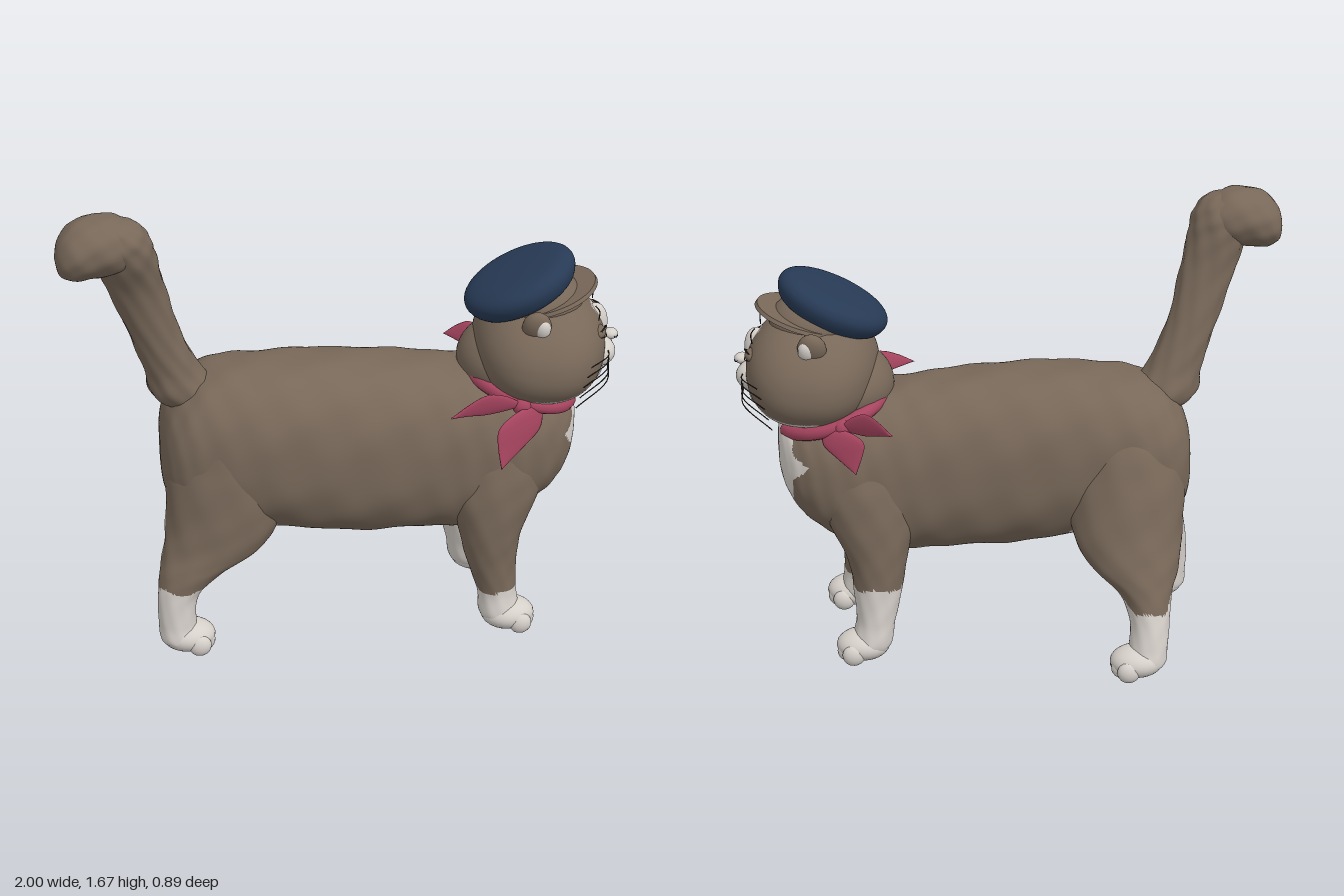
import * as THREE from 'three';

const mat = (name, color) => {
  const m = new THREE.MeshStandardMaterial({ color });
  m.name = name;
  return m;
};
const V = (x, y, z) => new THREE.Vector3(x, y, z);
const X = V(1, 0, 0), Y = V(0, 1, 0), Z = V(0, 0, 1);
const pw = (n, e) => Math.sign(n) * Math.pow(Math.abs(n), e);

// Smooth skin over sections [x, y, z, radiusU, radiusV]; u cross v points along the path.
function loft(sections, u, v, { steps = 48, sides = 48, fur = 0, power = 1 } = {}) {
  const centres = new THREE.CatmullRomCurve3(sections.map(s => V(s[0], s[1], s[2])), false, 'catmullrom');
  const radii = new THREE.CatmullRomCurve3(sections.map(s => V(s[3], s[4], 0)), false, 'catmullrom');
  const pos = [], idx = [];
  for (let i = 0; i <= steps; i++) {
    const c = centres.getPoint(i / steps), r = radii.getPoint(i / steps);
    for (let j = 0; j < sides; j++) {
      const a = j / sides * Math.PI * 2;
      const k = 1 + fur * (Math.sin(9 * a + i * 0.45) + Math.sin(5 * a - i * 0.8));
      const p = c.clone()
        .addScaledVector(u, Math.max(r.x, 0.00002) * pw(Math.cos(a), power) * k)
        .addScaledVector(v, Math.max(r.y, 0.00002) * pw(Math.sin(a), power) * k);
      pos.push(p.x, p.y, p.z);
      if (i < steps) {
        const n = (j + 1) % sides, A = i * sides + j, B = i * sides + n;
        idx.push(A, B, A + sides, B, B + sides, A + sides);
      }
    }
  }
  const g = new THREE.BufferGeometry();
  g.setAttribute('position', new THREE.Float32BufferAttribute(pos, 3));
  g.setIndex(idx);
  g.computeVertexNormals();
  return g;
}

// Split faces into two material groups: 0 = fur, 1 = white where the rule holds.
function patch(g, isWhite) {
  const lists = [[], []], p = g.attributes.position, ix = g.index.array;
  for (let t = 0; t < ix.length; t += 3) {
    const f = [ix[t], ix[t + 1], ix[t + 2]];
    const mean = get => (get(f[0]) + get(f[1]) + get(f[2])) / 3;
    const w = isWhite(mean(i => p.getX(i)), mean(i => p.getY(i)), mean(i => p.getZ(i)));
    lists[w ? 1 : 0].push(...f);
  }
  g.setIndex([...lists[0], ...lists[1]]);
  g.addGroup(0, lists[0].length, 0);
  g.addGroup(lists[0].length, lists[1].length, 1);
  return g;
}

export function createModel() {
  const fur = mat('brown fur', 0x786859), white = mat('white fur', 0xd6d0ca);
  const navy = mat('navy felt', 0x273a55), pink = mat('pink cloth', 0xa84560);
  const dark = mat('dark lines', 0x2e2722), coat = [fur, white];
  const cat = new THREE.Group();
  cat.name = 'cat';
  const add = (parent, name, g, m, x = 0, y = 0, z = 0) => {
    const mesh = new THREE.Mesh(g, m);
    mesh.name = name;
    mesh.position.set(x, y, z);
    parent.add(mesh);
    return mesh;
  };
  const ball = (parent, name, m, p, r, seg = 24) => {
    const mesh = add(parent, name, new THREE.SphereGeometry(1, seg, Math.ceil(seg * 0.7)), m, ...p);
    mesh.scale.set(...r);
    return mesh;
  };

  // Body with white bib and belly: x, bottom, top, z, half width
  const body = [
    [-0.655, 0.68, 0.72, 0.05, 0], [-0.645, 0.57, 0.85, 0.05, 0.14], [-0.59, 0.49, 0.95, 0.05, 0.22],
    [-0.48, 0.45, 1.025, 0.05, 0.26], [-0.28, 0.425, 1.05, 0.07, 0.27], [0, 0.385, 1.05, 0.08, 0.268],
    [0.28, 0.375, 1.025, 0.08, 0.256], [0.46, 0.375, 1.0, 0.08, 0.257], [0.6, 0.42, 0.98, 0.08, 0.26],
    [0.72, 0.49, 0.95, 0.08, 0.235], [0.8, 0.58, 0.92, 0.08, 0.18], [0.84, 0.68, 0.88, 0.08, 0.1],
    [0.85, 0.78, 0.8, 0.08, 0],
  ].map(([x, b, t, z, w]) => [x, (b + t) / 2, z, (t - b) / 2, w]);
  const bibWidth = y => (y > 0.77 ? 0.205 - (y - 0.77) * 0.75 : Math.max(0.015, 0.205 - (0.77 - y) * 0.52))
    + 0.006 * Math.sin(y * 60);
  const bodyGeo = loft(body, Y, Z, { steps: 140, sides: 130, fur: 0.006, power: 0.83 });
  add(cat, 'body', patch(bodyGeo, (x, y, z) => {
    const bib = x > 0.5 && y > 0.39 && y < 0.9 && Math.abs(z - 0.065) < bibWidth(y);
    const belly = x < 0.36 && x > -0.6 && y < 0.55 && Math.abs(z - 0.06) < (x < -0.2 ? 0.17 : 0.115);
    return bib || belly;
  }), coat);
  ball(cat, 'neck', fur, [0.61, 1.01, 0.09], [0.19, 0.15, 0.21], 40);

  // Legs: rows of y, x, z, radius x, radius z; white socks and white inner thighs
  const leg = (name, rows, sock, inner) => {
    const g = loft(rows.map(([y, x, z, a, b]) => [x, y, z, a, b]), X, Z, { steps: 70, sides: 56, fur: 0.008 });
    add(cat, name, patch(g, (x, y, z) => y < sock + 0.008 * Math.sin(x * 40 + z * 30) || inner(y, z)), coat);
  };
  leg('leftFrontLeg', [[0.96, 0.56, 0.13, 0, 0], [0.85, 0.56, 0.17, 0.12, 0.11], [0.7, 0.56, 0.205, 0.165, 0.135],
    [0.55, 0.54, 0.23, 0.165, 0.135], [0.4, 0.525, 0.25, 0.115, 0.115], [0.28, 0.53, 0.262, 0.092, 0.092],
    [0.16, 0.55, 0.275, 0.072, 0.075], [0.06, 0.56, 0.285, 0.07, 0.075], [0.03, 0.56, 0.285, 0, 0]], 0.17, () => false);
  leg('rightFrontLeg', [[0.96, 0.54, 0.03, 0, 0], [0.85, 0.54, -0.01, 0.12, 0.11], [0.7, 0.54, -0.055, 0.165, 0.135],
    [0.55, 0.52, -0.08, 0.16, 0.13], [0.4, 0.5, -0.105, 0.11, 0.11], [0.28, 0.5, -0.12, 0.09, 0.095],
    [0.16, 0.51, -0.135, 0.072, 0.085], [0.06, 0.53, -0.15, 0.07, 0.075], [0.03, 0.53, -0.15, 0, 0]], 0.3, () => false);
  leg('leftHindLeg', [[1.0, -0.42, 0.1, 0, 0], [0.87, -0.42, 0.14, 0.14, 0.14], [0.7, -0.43, 0.16, 0.205, 0.165],
    [0.52, -0.44, 0.18, 0.21, 0.158], [0.4, -0.48, 0.21, 0.185, 0.13], [0.31, -0.57, 0.25, 0.115, 0.095],
    [0.23, -0.62, 0.27, 0.075, 0.075], [0.12, -0.628, 0.28, 0.068, 0.07], [0.05, -0.615, 0.285, 0.07, 0.07],
    [0.03, -0.61, 0.285, 0, 0]], 0.265, (y, z) => y < 0.52 && z < 0.2 + Math.max(0, 0.42 - y) * 0.35);
  leg('rightHindLeg', [[1.0, -0.42, 0.02, 0, 0], [0.87, -0.42, -0.04, 0.14, 0.14], [0.7, -0.42, -0.085, 0.2, 0.172],
    [0.52, -0.41, -0.14, 0.205, 0.165], [0.4, -0.43, -0.2, 0.17, 0.14], [0.31, -0.465, -0.255, 0.105, 0.11],
    [0.22, -0.48, -0.3, 0.075, 0.09], [0.12, -0.475, -0.34, 0.07, 0.075], [0.05, -0.46, -0.355, 0.07, 0.07],
    [0.03, -0.46, -0.355, 0, 0]], 0.25, (y, z) => y < 0.48 && z > -0.2 - (0.42 - y) * 0.9);

  // Paws with four toes
  for (const [name, x, z] of [['leftFrontPaw', 0.58, 0.295], ['rightFrontPaw', 0.55, -0.155],
    ['leftHindPaw', -0.6, 0.283], ['rightHindPaw', -0.44, -0.36]]) {
    ball(cat, name, white, [x + 0.01, 0.065, z], [0.098, 0.058, 0.083]);
    [-0.06, -0.021, 0.021, 0.06].forEach(d =>
      ball(cat, name + 'Toe', white, [x + 0.073 - Math.abs(d) * 0.45, 0.048, z + d], [0.042, 0.041, 0.029], 16));
  }

  // Raised tail curling over into a bushy tip
  add(cat, 'tail', loft([[-0.5, 0.84, 0.06, 0, 0], [-0.55, 0.93, 0.07, 0.1, 0.12], [-0.605, 1.05, 0.085, 0.088, 0.1],
    [-0.665, 1.2, 0.11, 0.076, 0.09], [-0.722, 1.38, 0.145, 0.074, 0.1], [-0.76, 1.51, 0.18, 0.1, 0.108],
    [-0.785, 1.59, 0.195, 0.105, 0.11], [-0.8, 1.645, 0.2, 0.07, 0.08], [-0.81, 1.67, 0.2, 0, 0]],
    Z, X, { fur: 0.02, steps: 64 }), fur);
  add(cat, 'tailTip', loft([[-1.0, 1.535, 0.205, 0, 0], [-0.985, 1.538, 0.205, 0.06, 0.075], [-0.94, 1.553, 0.205, 0.097, 0.115],
    [-0.87, 1.568, 0.2, 0.106, 0.125], [-0.79, 1.57, 0.195, 0.1, 0.115], [-0.72, 1.56, 0.19, 0.06, 0.07],
    [-0.69, 1.55, 0.19, 0, 0]], Y, Z, { fur: 0.012, steps: 40 }), fur);

  // Head, turned a little to its left; local +x is the face direction
  const head = new THREE.Group();
  head.name = 'head';
  head.position.set(0.715, 1.08, 0.1);
  head.rotation.y = -0.13;
  cat.add(head);
  const skull = new THREE.SphereGeometry(1, 160, 110), sp = skull.attributes.position;
  for (let i = 0; i < sp.count; i++) {
    const x = sp.getX(i), y = sp.getY(i), z = sp.getZ(i);
    const wide = 0.3 - 0.04 * Math.max(y, 0) + 0.045 * Math.max(-y, 0);
    sp.setXYZ(i, pw(x, 0.85) * (x > 0 ? 0.235 : 0.24), pw(y, y < 0 ? 0.92 : 1) * 0.2, pw(z, 0.88) * wide);
  }
  skull.computeVertexNormals();
  add(head, 'skull', patch(skull, (x, y, z) =>
    x > -0.05 && y < 0.135 && Math.abs(z) < 0.034 + Math.max(0, 0.04 - y) * 1.25), coat);

  // Muzzle, nose and mouth
  ball(head, 'chin', white, [0.16, -0.092, 0], [0.075, 0.07, 0.12]);
  ball(head, 'noseBridge', white, [0.2, 0.06, 0], [0.045, 0.075, 0.034]);
  ball(head, 'nose', white, [0.256, 0.016, 0], [0.028, 0.02, 0.03], 16);
  const line = (parent, name, pts, r) =>
    add(parent, name, new THREE.TubeGeometry(new THREE.CatmullRomCurve3(pts.map(p => V(...p))), 12, r, 5), dark);
  for (const s of [1, -1]) {
    ball(head, 'whiskerPad', white, [0.198, -0.03, s * 0.045], [0.074, 0.057, 0.075]);
    line(head, 'noseEdge', [[0.284, 0.008, 0], [0.278, 0.006, s * 0.012], [0.266, 0.014, s * 0.028]], 0.0025);
    line(head, 'mouth', [[0.258, -0.042, 0], [0.256, -0.066, s * 0.025], [0.232, -0.082, s * 0.06]], 0.0025);
    // Sleepy eyes with dark lids
    ball(head, 'eye', fur, [0.198, 0.068, s * 0.1], [0.03, 0.024, 0.044], 20);
    line(head, 'upperLid', [[0.224, 0.066, s * 0.056], [0.228, 0.086, s * 0.095], [0.205, 0.084, s * 0.145]], 0.003);
    line(head, 'lowerLid', [[0.226, 0.06, s * 0.06], [0.23, 0.05, s * 0.098], [0.208, 0.06, s * 0.143]], 0.002);
    // Small folded ears
    const ear = ball(head, 'ear', fur, [-0.03, 0.135, s * 0.208], [0.052, 0.062, 0.035], 20);
    ear.rotation.x = s * 0.35;
    const inner = ball(head, 'innerEar', white, [-0.012, 0.13, s * 0.222], [0.03, 0.043, 0.026], 20);
    inner.rotation.x = s * 0.35;
    // Whiskers
    for (let k = 0; k < 5; k++) {
      const y = -0.01 - k * 0.014;
      line(head, 'whisker', [[0.24, y, s * 0.085], [0.232, y + 0.008 - k * 0.01, s * 0.16],
        [0.16 - k * 0.012, y + 0.012 - k * 0.025, s * 0.265]], 0.0022);
    }
    line(head, 'browWhisker', [[0.2, 0.11, s * 0.1], [0.2, 0.15, s * 0.115], [0.18, 0.185, s * 0.14]], 0.0022);
  }

  // Crown, thin visor and tilted beret
  ball(cat, 'crown', fur, [0.7, 1.245, 0.11], [0.165, 0.105, 0.17], 32);
  add(cat, 'visor', new THREE.CylinderGeometry(0.18, 0.185, 0.014, 48), fur, 0.735, 1.262, 0.11).rotation.z = 0.3;
  const profile = new THREE.SplineCurve([[0, -0.065], [0.1, -0.068], [0.165, -0.055], [0.194, -0.01], [0.186, 0.028],
    [0.145, 0.05], [0.07, 0.057], [0, 0.058]].map(p => new THREE.Vector2(...p))).getPoints(40);
  profile.forEach(p => { p.x = Math.max(p.x, 0); });
  const beret = add(cat, 'beret', new THREE.LatheGeometry(profile, 56), navy, 0.634, 1.312, 0.113);
  beret.rotation.z = 0.45;
  beret.scale.x = 1.08;

  // Neckerchief: tilted band open under the chin, side knots and two pointed ends each
  const band = [];
  for (let i = 0; i <= 24; i++) {
    const a = 0.42 + i / 24 * (Math.PI * 2 - 0.84), c = Math.cos(a);
    band.push(V(0.642 + 0.188 * c, 0.925 - 0.062 * c, 0.09 + 0.232 * Math.sin(a)));
  }
  add(cat, 'scarfBand', new THREE.TubeGeometry(new THREE.CatmullRomCurve3(band), 80, 0.027, 10), pink);
  const leaf = (from, to, u, half) => {
    const a = V(...from), b = V(...to), w = b.clone().sub(a);
    u = V(...u).normalize();
    const v = w.clone().cross(u).normalize();
    const rows = [[0, 0.005], [0.05, 0.25], [0.25, 0.75], [0.5, 1], [0.75, 0.6], [1, 0]].map(([t, k]) => {
      const p = a.clone().addScaledVector(w, t);
      return [p.x, p.y + 0.025 * Math.sin(t * Math.PI), p.z, half * k, 0.004 + 0.012 * k * (1 - t)];
    });
    add(cat, 'scarfEnd', loft(rows, u, v, { steps: 24, sides: 16 }), pink);
  };
  ball(cat, 'leftKnot', pink, [0.61, 0.925, 0.33], [0.035, 0.035, 0.03], 16);
  ball(cat, 'rightKnot', pink, [0.61, 0.925, -0.15], [0.035, 0.035, 0.03], 16);
  leaf([0.61, 0.93, 0.33], [0.335, 0.945, 0.435], [0, 1, 0.25], 0.045);
  leaf([0.66, 0.93, 0.33], [0.52, 0.73, 0.43], [0.87, -0.25, -0.4], 0.092);
  leaf([0.62, 0.93, -0.15], [0.44, 0.945, -0.28], [0, 1, -0.3], 0.05);
  leaf([0.65, 0.93, -0.15], [0.57, 0.78, -0.23], [0.87, -0.2, 0.4], 0.08);
  return cat;
}
